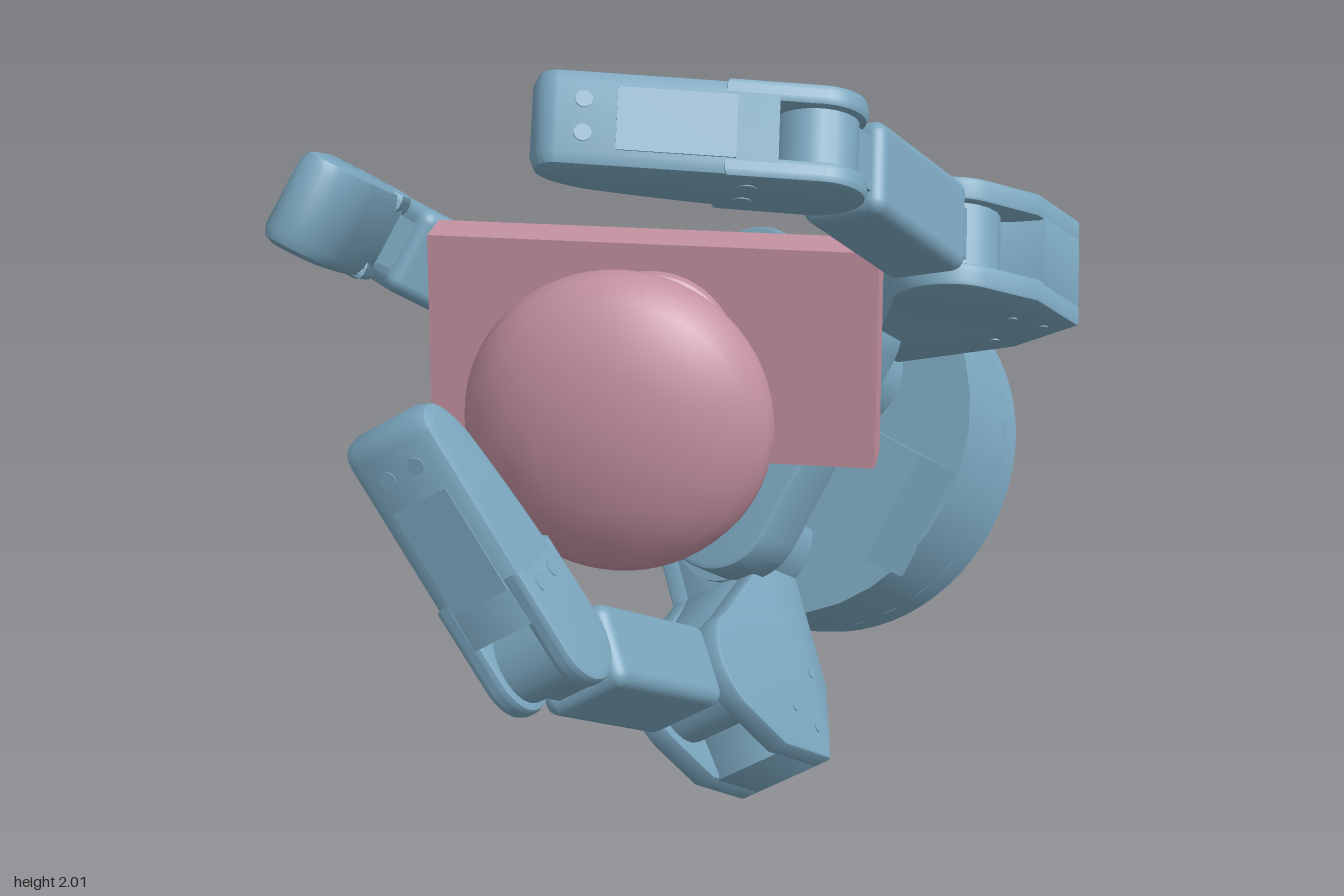
import * as THREE from 'three';
import { toCreasedNormals } from 'three/addons/utils/BufferGeometryUtils.js';
import { RoundedBoxGeometry } from 'three/addons/geometries/RoundedBoxGeometry.js';

const blue = new THREE.MeshStandardMaterial({ color: 0x7aa5bd });
const pink = new THREE.MeshStandardMaterial({ color: 0xc391a0 });
const rad = THREE.MathUtils.degToRad;

function add(parent, name, geometry, material, x = 0, y = 0, z = 0) {
  const mesh = new THREE.Mesh(geometry, material);
  mesh.name = name;
  mesh.position.set(x, y, z);
  parent.add(mesh);
  return mesh;
}

// Extrusion centred on z with rounded edges; width includes the bevel
function slab(shape, width, bevel = 0.015) {
  const geo = new THREE.ExtrudeGeometry(shape, {
    depth: width - 2 * bevel, bevelEnabled: true, bevelThickness: bevel,
    bevelSize: bevel, bevelOffset: -bevel, bevelSegments: 2, curveSegments: 12,
  });
  geo.translate(0, 0, bevel - width / 2);
  return toCreasedNormals(geo, 0.6);
}

function polygon(points) {
  return new THREE.Shape(points.map(([x, y]) => new THREE.Vector2(x, y)));
}

function roundedRect(w, h, r) {
  const s = new THREE.Shape();
  s.absarc(w / 2 - r, h / 2 - r, r, 0, Math.PI / 2);
  s.absarc(r - w / 2, h / 2 - r, r, Math.PI / 2, Math.PI);
  s.absarc(r - w / 2, r - h / 2, r, Math.PI, Math.PI * 1.5);
  s.absarc(w / 2 - r, r - h / 2, r, Math.PI * 1.5, Math.PI * 2);
  return s;
}

// Cylinder lying along z, used for pins and screws
function pin(parent, name, r, length, x, y, z = 0) {
  const mesh = add(parent, name, new THREE.CylinderGeometry(r, r, length, 20), blue, x, y, z);
  mesh.rotation.x = Math.PI / 2;
  return mesh;
}

const JOINT = [0.58, 0.68]; // knuckle joint: outward, along the hand axis
const MEDIAL = 0.75;

function knuckle(finger) {
  const group = new THREE.Group();
  group.name = 'knuckle';
  // Two cheeks carry the joint, a core fills the gap below it
  const cheek = new THREE.Shape();
  cheek.moveTo(-0.14, 0.28);
  cheek.lineTo(0.56, 0.28);
  cheek.lineTo(0.78, 0.375);
  cheek.lineTo(0.78, 0.6);
  cheek.absarc(JOINT[0], JOINT[1], 0.145, 0.45, 2.75);
  cheek.lineTo(0.25, 0.47);
  cheek.lineTo(-0.14, 0.47);
  for (const side of [-1, 1]) {
    add(group, 'knuckleCheek', slab(cheek, 0.06, 0.01), blue, 0, 0, side * 0.11);
    for (const [x, y] of [[0.7, 0.41], [0.66, 0.5], [0.54, 0.36]])
      pin(group, 'knuckleScrew', 0.012, 0.004, x, y, side * 0.141);
  }
  const core = polygon([[-0.14, 0.28], [0.56, 0.28], [0.78, 0.375], [0.78, 0.57],
    [0.7, 0.59], [0.44, 0.7], [0.25, 0.47], [-0.14, 0.47]]);
  add(group, 'knuckleCore', slab(core, 0.18, 0.003), blue);
  finger.add(group);
}

function medialLink(parent) {
  pin(parent, 'medialHub', 0.12, 0.16, 0, 0);
  add(parent, 'medialTongue', new THREE.BoxGeometry(0.16, MEDIAL, 0.13), blue, 0, MEDIAL / 2);
  add(parent, 'medialBody', new RoundedBoxGeometry(0.21, 0.49, 0.23, 3, 0.035), blue, 0, 0.375);
  pin(parent, 'distalHub', 0.1, 0.13, 0, MEDIAL);
}

function distalLink(parent) {
  // Forked root
  const root = new THREE.Shape();
  root.absarc(0, 0, 0.12, Math.PI, Math.PI * 2);
  root.lineTo(0.115, 0.22);
  root.lineTo(-0.12, 0.22);
  for (const side of [-1, 1]) {
    add(parent, 'distalCheek', slab(root, 0.055, 0.018), blue, 0, 0, side * 0.0925);
    for (const x of [-0.04, 0.045])
      pin(parent, 'distalScrew', 0.022, 0.006, x, 0.16, side * 0.119);
  }
  // Tapering fingertip
  const tip = new THREE.Shape();
  tip.moveTo(-0.12, 0.1);
  tip.lineTo(0.117, 0.1);
  tip.lineTo(0.1, 0.6);
  tip.quadraticCurveTo(0.09, 0.65, 0.03, 0.65);
  tip.quadraticCurveTo(-0.04, 0.64, -0.075, 0.53);
  tip.quadraticCurveTo(-0.11, 0.34, -0.12, 0.1);
  add(parent, 'fingertip', slab(tip, 0.24, 0.035), blue);
  // Dorsal cover with its two screws
  const cover = add(parent, 'dorsalCover', new THREE.BoxGeometry(0.02, 0.27, 0.15), blue, 0.103, 0.33);
  cover.rotation.z = 0.038;
  for (const z of [-0.04, 0.04]) {
    const screw = pin(parent, 'dorsalScrew', 0.02, 0.02, 0.096, 0.54, z);
    screw.rotation.set(0, 0, Math.PI / 2);
  }
}

// Offset is on the base disc plus lift along the hand axis; turn is about that axis;
// tilt and curl are joint angles in degrees
function finger(hand, name, [u, v, lift], turn, tilt, curl) {
  const group = new THREE.Group();
  group.name = name;
  group.position.set(u, lift, -v);
  group.rotation.y = rad(turn);
  knuckle(group);
  const medial = new THREE.Group();
  medial.name = 'medialLink';
  medial.position.set(JOINT[0], JOINT[1], 0);
  medial.rotation.z = -rad(tilt);
  medialLink(medial);
  const distal = new THREE.Group();
  distal.name = 'distalLink';
  distal.position.y = MEDIAL;
  distal.rotation.z = rad(curl);
  distalLink(distal);
  medial.add(distal);
  group.add(medial);
  hand.add(group);
  return group;
}

function gripper() {
  const hand = new THREE.Group();
  hand.name = 'gripper';
  // Round base built from stacked rings: name, radius, bottom, top, sides
  for (const [name, r, y0, y1, n] of [['backPlate', 0.49, 0, 0.035, 64], ['baseGroove', 0.48, 0.03, 0.055, 64],
    ['baseRing', 0.5, 0.05, 0.09, 64], ['baseSeam', 0.49, 0.085, 0.1, 64], ['baseDrum', 0.503, 0.095, 0.29, 32]])
    add(hand, name, new THREE.CylinderGeometry(r, r, y1 - y0, n), blue, 0, (y0 + y1) / 2);

  // Palm plate over the finger turrets
  const palm = add(hand, 'palm', slab(roundedRect(0.86, 0.56, 0.16), 0.16, 0.01), blue, 0, 0.55);
  palm.rotation.set(-Math.PI / 2, 0, rad(55), 'YXZ');

  finger(hand, 'upperFinger', [0.1, 0.27, 0.03], -4, 3, 54);
  finger(hand, 'lowerFinger', [-0.23, -0.2, 0], -75, 5, 56);
  const thumb = finger(hand, 'fixedFinger', [0.02, -0.085, 0], 145, 20, 56);
  // The fixed finger's mount runs through to the far side of the base
  add(thumb, 'mountBlock', new THREE.BoxGeometry(0.5, 0.2, 0.3), blue, -0.17, 0.38);
  for (const s of [-1, 1])
    add(thumb, 'turret', new THREE.CylinderGeometry(0.15, 0.15, 0.22, 32), blue, 0, 0.38, s * 0.25);

  // Tilt the hand axis and put the back plate in place
  const axis = new THREE.Vector3(-0.42, 0.5, 0.75).normalize();
  const across = new THREE.Vector3(0.9, 0.33, 0.28);
  across.addScaledVector(axis, -across.dot(axis)).normalize();
  const third = new THREE.Vector3().crossVectors(across, axis);
  hand.quaternion.setFromRotationMatrix(new THREE.Matrix4().makeBasis(across, axis, third));
  hand.position.set(0.385, 0.65, -0.67);
  return hand;
}

function heldKnob() {
  const group = new THREE.Group();
  group.name = 'knobOnBoard';
  add(group, 'board', new THREE.BoxGeometry(1.12, 0.555, 0.14), pink, -0.055, 1.162, 0.002);
  // Flange, neck, cone and domed front
  const profile = [[0, 0.06], [0.205, 0.06], [0.21, 0.075], [0.21, 0.105], [0.2, 0.115], [0.19, 0.13],
    [0.13, 0.14], [0.112, 0.17], [0.11, 0.29], [0.125, 0.325], [0.16, 0.36], [0.3, 0.495],
    [0.34, 0.535], [0.36, 0.57], [0.365, 0.6], [0.355, 0.645], [0.32, 0.69], [0.25, 0.735],
    [0.17, 0.763], [0.08, 0.778], [0, 0.782]].map(([r, z]) => new THREE.Vector2(r, z));
  const geo = toCreasedNormals(new THREE.LatheGeometry(profile, 64), 0.6);
  const knob = add(group, 'knob', geo, pink, -0.05, 1.163, 0);
  knob.rotation.x = Math.PI / 2;
  return group;
}

export function createModel() {
  const model = new THREE.Group();
  model.name = 'gripperHoldingKnob';
  model.add(gripper(), heldKnob());
  return model;
}
